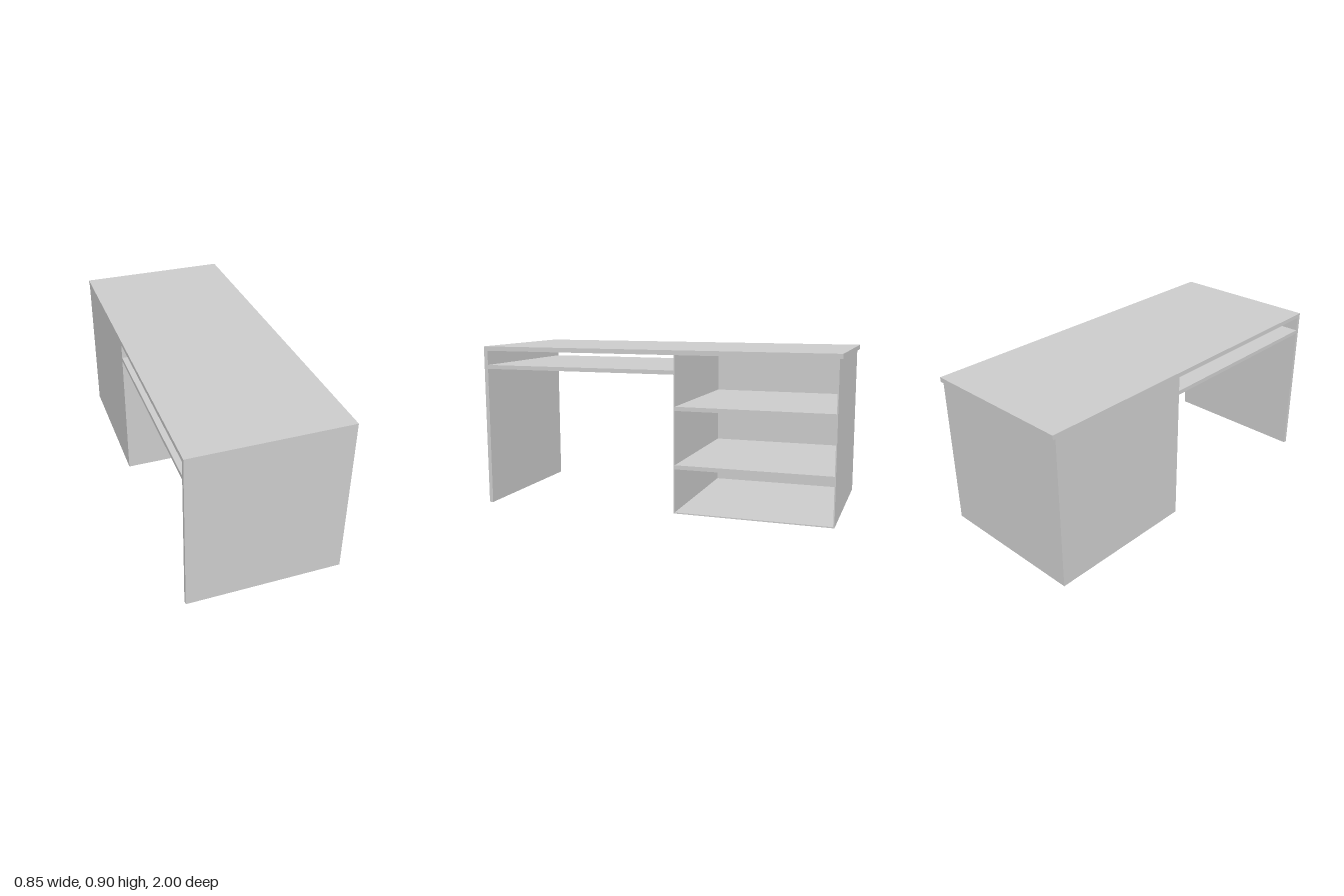
import * as THREE from 'three';

export function createModel() {
  const desk = new THREE.Group();
  desk.name = 'desk';
  const material = new THREE.MeshStandardMaterial({ color: 0xcccccc, flatShading: true });

  // Board spanning the given limits on each axis
  const board = (name, [x0, x1], [y0, y1], [z0, z1], parent = desk) => {
    const mesh = new THREE.Mesh(new THREE.BoxGeometry(x1 - x0, y1 - y0, z1 - z0), material);
    mesh.position.set((x0 + x1) / 2, (y0 + y1) / 2, (z0 + z1) / 2);
    mesh.name = name;
    parent.add(mesh);
  };

  const depth = [-0.427, 0.427];
  const topUnder = 0.88;

  // Worktop, end panel and the tray shelf over the knee space
  board('worktop', depth, [topUnder, 0.905], [-1, 1]);
  board('endPanel', depth, [0, topUnder], [0.978, 1]);
  board('trayShelf', depth, [0.778, 0.8], [-0.135, 0.978]);

  // Thin-walled cabinet, open towards +x
  const cabinet = new THREE.Group();
  cabinet.name = 'cabinet';
  desk.add(cabinet);
  const wall = 0.006, bottom = 0.033, near = -0.135, far = -0.985;
  const height = [bottom, topUnder];
  const inner = [far + wall, near - wall];
  board('innerSide', depth, height, [near - wall, near], cabinet);
  board('outerSide', depth, height, [far, far + wall], cabinet);
  board('cabinetFloor', depth, [bottom, bottom + wall], inner, cabinet);
  board('backPanel', [depth[0], depth[0] + wall], [bottom + wall, topUnder], inner, cabinet);

  // Two shelves inside the cabinet
  for (const y of [0.275, 0.588]) {
    board('cabinetShelf', [depth[0] + wall, depth[1]], [y, y + 0.022], inner, cabinet);
  }

  return desk;
}
